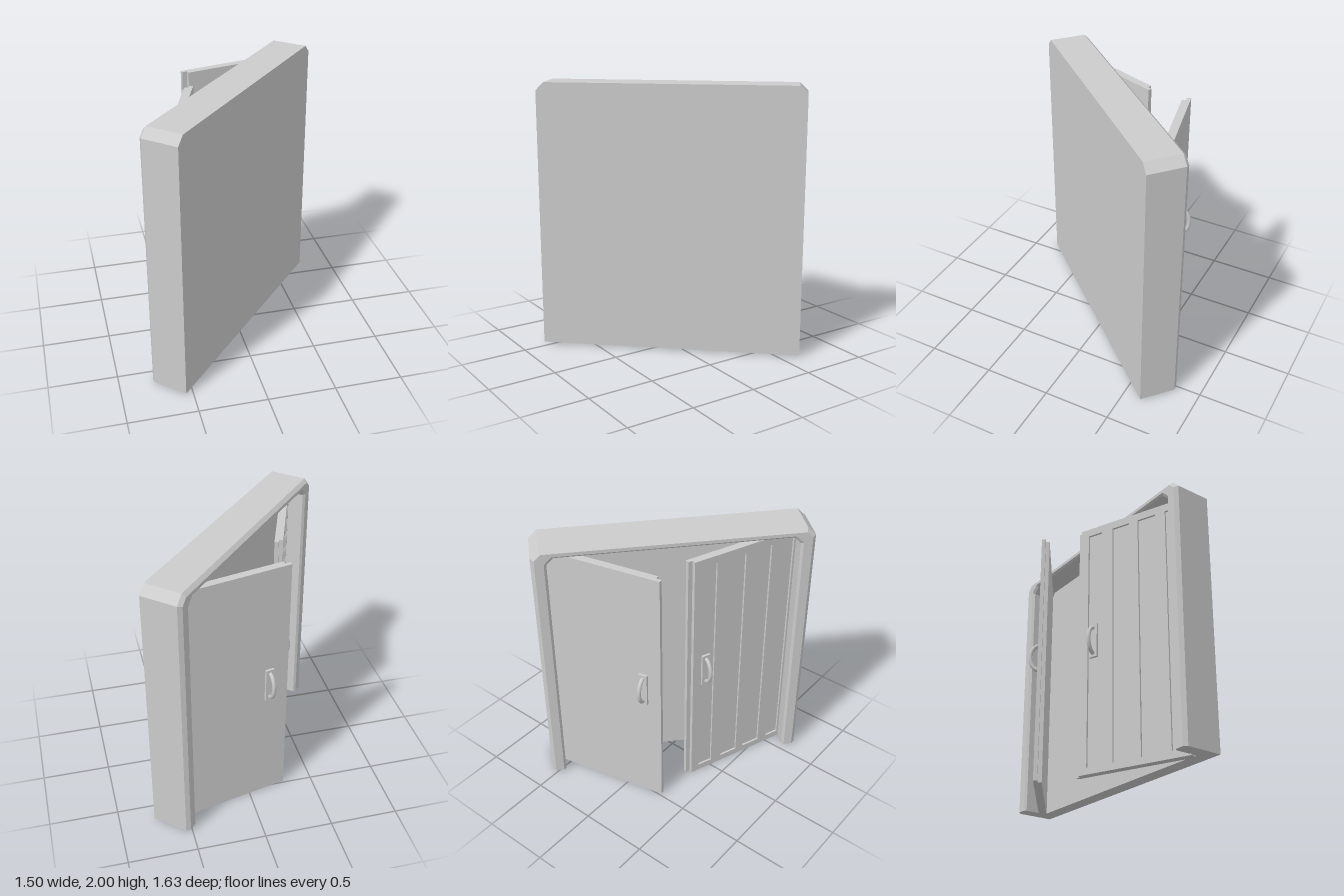
import * as THREE from 'three';
import { mergeGeometries } from 'three/addons/utils/BufferGeometryUtils.js';

const BASE = 0.01; // the cabinet sits just above the door bottoms
const grey = () => new THREE.MeshStandardMaterial({ color: 0xcccccc, flatShading: true });

// Arch outline with cut top corners: half width w, height h, corner cut c
const arch = (w, h, c) => [
  [-w, BASE], [-w, h - c], [-w + c, h], [w - c, h], [w, h - c], [w, BASE],
].map(([x, y]) => new THREE.Vector2(x, y));

// Shell: outer side, back bevel, rim, inner bevel and recess, as arches placed along z
function cabinetGeometry() {
  const loops = [
    [arch(0.973, 2, 0.06), 0.131],
    [arch(0.973, 2, 0.06), -0.138],
    [arch(0.948, 1.975, 0.045), -0.163],
    [arch(0.885, 1.95, 0.055), -0.163],
    [arch(0.868, 1.935, 0.05), -0.148],
    [arch(0.868, 1.935, 0.05), 0.02],
  ];
  const pos = [];
  const point = (k, i) => [loops[k][0][i].x, loops[k][0][i].y, loops[k][1]];
  for (let k = 0; k < loops.length - 1; k++) {
    for (let i = 0; i < 5; i++) {
      const a = point(k, i), b = point(k, i + 1), c = point(k + 1, i), d = point(k + 1, i + 1);
      pos.push(...a, ...b, ...c, ...b, ...d, ...c);
    }
  }
  const shell = new THREE.BufferGeometry();
  shell.setAttribute('position', new THREE.Float32BufferAttribute(pos, 3));
  shell.computeVertexNormals();

  // Flat front, recess wall and underside
  const flat = (points) => {
    const g = new THREE.ShapeGeometry(new THREE.Shape(points)).toNonIndexed();
    g.deleteAttribute('uv');
    return g;
  };
  const front = flat(loops[0][0]).translate(0, 0, 0.131);
  const recess = flat(loops[5][0]).translate(0, 0, 0.02);
  const under = flat([
    ...loops.map(([p, z]) => new THREE.Vector2(p[0].x, z)),
    ...loops.map(([p, z]) => new THREE.Vector2(p[5].x, z)).reverse(),
  ]).rotateX(Math.PI / 2).translate(0, BASE, 0);
  return mergeGeometries([shell, front, recess, under]);
}

// Door slab from z0 to z1, hinge at x = 0, top corner cut on the hinge side
function slab(dir, width, z0, z1, panels = []) {
  const top = 1.928, cut = 0.05;
  const shape = new THREE.Shape([[0, 0], [width, 0], [width, top], [cut, top], [0, top - cut]]
    .map(([x, y]) => new THREE.Vector2(x * dir, y)));
  for (const [x0, x1] of panels) {
    shape.holes.push(new THREE.Path([[x0, 0.05], [x1, 0.05], [x1, top - 0.06], [x0, top - 0.06]]
      .map(([x, y]) => new THREE.Vector2(x * dir, y))));
  }
  return new THREE.ExtrudeGeometry(shape, { depth: z1 - z0, bevelEnabled: false }).translate(0, 0, z0);
}

function createHandle() {
  const handle = new THREE.Group();
  handle.name = 'handle';
  const plate = new THREE.Mesh(new THREE.BoxGeometry(0.065, 0.26, 0.02), grey());
  plate.name = 'handlePlate';
  plate.position.z = -0.022;

  // Bowed grip
  const points = [];
  for (let i = 0; i <= 8; i++) {
    const a = (i / 8) * Math.PI;
    points.push(new THREE.Vector3(0, 0.1 * Math.cos(a), -0.025 - 0.065 * Math.sin(a)));
  }
  const material = grey();
  material.flatShading = false;
  const grip = new THREE.Mesh(
    new THREE.TubeGeometry(new THREE.CatmullRomCurve3(points), 20, 0.015, 10), material);
  grip.name = 'handleGrip';
  handle.add(plate, grip);
  return handle;
}

// Door hinged on the side away from dir, with rebated free edge and four sunk panels
function createDoor(name, dir, outerWidth, innerWidth, angle) {
  const door = new THREE.Group();
  door.name = name;
  const end = 0.875;
  const panels = [[0.095, 0.21], [0.30, 0.445], [0.515, 0.66], [0.74, 0.85]]
    .map(([a, b]) => [end - b, end - a]);
  const parts = {
    doorInside: slab(dir, innerWidth, 0, 0.029),
    doorCore: slab(dir, outerWidth, -0.014, 0),
    doorPanelFrame: slab(dir, outerWidth, -0.029, -0.014, panels),
  };
  for (const [part, geometry] of Object.entries(parts)) {
    const mesh = new THREE.Mesh(geometry, grey());
    mesh.name = part;
    door.add(mesh);
  }
  const handle = createHandle();
  handle.position.set(dir * (end - 0.14), 0.985, 0);
  door.add(handle);
  door.position.set(-dir * 0.866, 0, -0.003);
  door.rotation.y = dir * THREE.MathUtils.degToRad(angle);
  return door;
}

export function createModel() {
  const model = new THREE.Group();
  model.name = 'cabinet';

  const material = grey();
  material.side = THREE.DoubleSide;
  const body = new THREE.Mesh(cabinetGeometry(), material);
  body.name = 'cabinetBody';

  model.add(
    body,
    createDoor('leftDoor', -1, 0.875, 0.838, 35.5),
    createDoor('rightDoor', 1, 0.845, 0.878, 22),
  );
  // The whole cabinet stands at an angle
  model.rotation.y = 0.84;

  const root = new THREE.Group();
  root.name = 'openCabinet';
  root.add(model);
  return root;
}
